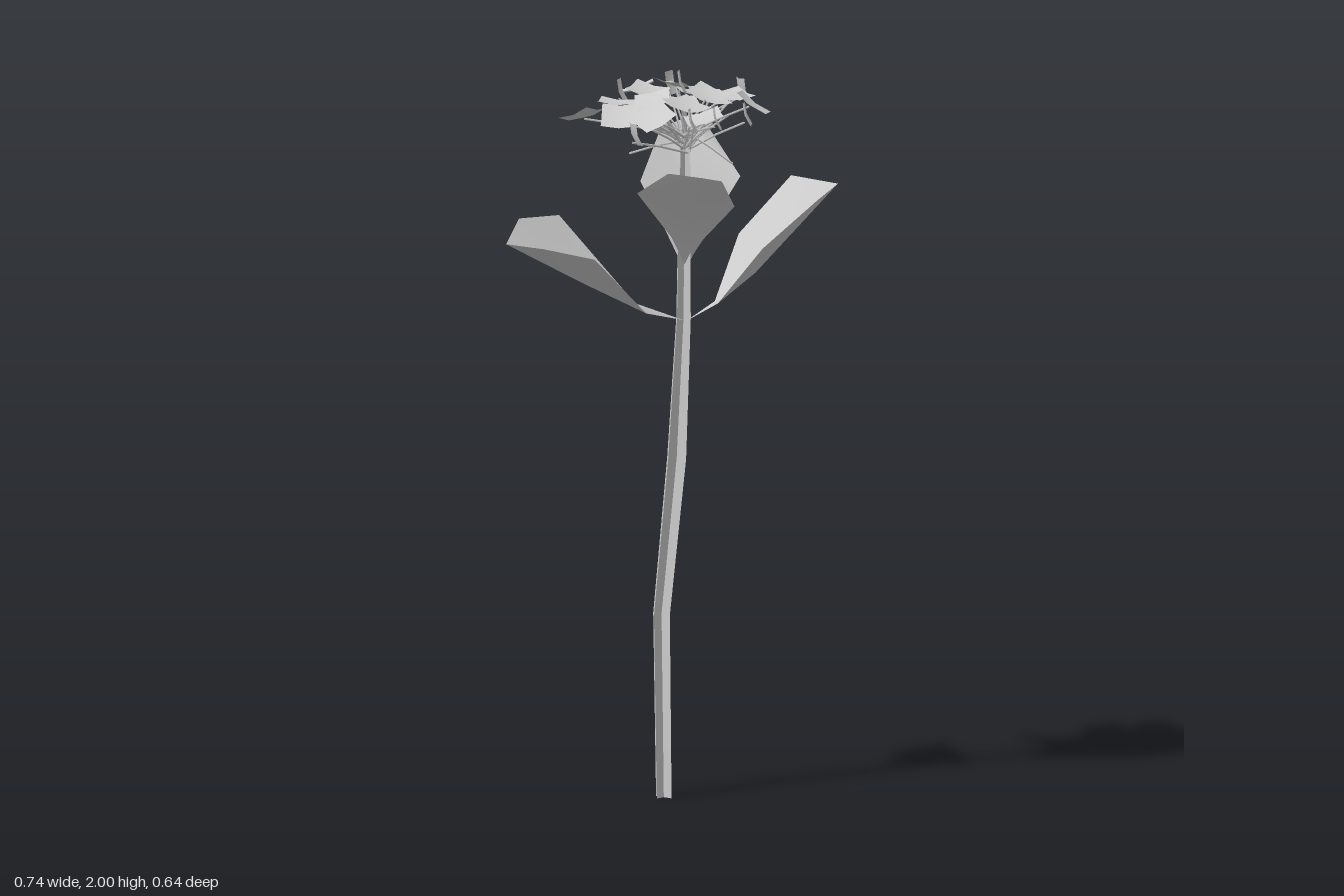
import * as THREE from 'three';

const V = (x, y, z) => new THREE.Vector3(x, y, z);
const material = new THREE.MeshStandardMaterial({ color: 0xcccccc, side: THREE.DoubleSide });

let seed = 7;
const random = () => (seed = (seed * 16807) % 2147483647) / 2147483647;
const jitter = (a) => (random() - 0.5) * 2 * a;

function surface(name, points, index) {
  const g = new THREE.BufferGeometry().setFromPoints(points);
  g.setIndex(index);
  g.computeVertexNormals();
  const mesh = new THREE.Mesh(g, material);
  mesh.name = name;
  return mesh;
}

// Stem: two crossed ribbons that follow a gently bent path (x, y, z, half width)
const stemPath = [
  [0.09, 0, -0.1, 0.028], [0.08, 0.5, -0.1, 0.03], [0.084, 0.93, -0.052, 0.034],
  [0.058, 1.32, -0.009, 0.026], [0.048, 1.5, 0, 0.023], [0.03, 1.79, 0.018, 0.018],
];
function stemRibbon(angle) {
  const dx = Math.cos(angle), dz = Math.sin(angle);
  const points = [], index = [];
  stemPath.forEach(([x, y, z, w], i) => {
    points.push(V(x - dx * w, y, z - dz * w), V(x + dx * w, y, z + dz * w));
    if (i) {
      const a = 2 * i - 2;
      index.push(a, a + 1, a + 3, a, a + 3, a + 2);
    }
  });
  return surface('stemRibbon', points, index);
}

// Leaf: curved sheet, rows are base, neck pair, edge-midrib-edge, three tips
const leafFaces = [0, 1, 2, 1, 3, 4, 1, 4, 2, 2, 4, 5, 3, 6, 7, 3, 7, 4, 4, 7, 8, 4, 8, 5];
const leaves = {
  lowerBackLeaf: [[0.045, 1.315, 0], [-0.06, 1.343, -0.045], [-0.03, 1.36, -0.105],
    [-0.28, 1.52, -0.05], [-0.18, 1.43, -0.17], [-0.11, 1.59, -0.3],
    [-0.37, 1.55, -0.15], [-0.37, 1.55, -0.28], [-0.26, 1.6, -0.32]],
  lowerFrontLeaf: [[0.055, 1.31, 0], [0.08, 1.365, 0.09], [0.125, 1.36, 0.045],
    [0.08, 1.53, 0.24], [0.18, 1.44, 0.14], [0.27, 1.52, 0.015],
    [0.215, 1.65, 0.32], [0.367, 1.67, 0.275], [0.37, 1.675, 0.115]],
  upperFrontLeaf: [[0.055, 1.46, 0], [-0.02, 1.55, 0.01], [0.055, 1.54, 0.06],
    [-0.165, 1.69, 0.005], [-0.035, 1.62, 0.07], [0.055, 1.64, 0.165],
    [-0.165, 1.755, 0.11], [-0.12, 1.745, 0.19], [-0.06, 1.73, 0.21]],
  upperBackLeaf: [[0.05, 1.45, 0], [0.1, 1.55, 0.035], [0.03, 1.55, -0.045],
    [0.188, 1.695, 0.083], [0.08, 1.63, -0.01], [0.01, 1.685, -0.118],
    [0.18, 1.815, -0.015], [0.18, 1.83, -0.11], [0.105, 1.815, -0.122]],
};

// Floret: small square petal with lifted corners
const petal = new THREE.PlaneGeometry(0.096, 0.096, 2, 2).rotateX(-Math.PI / 2);
const pp = petal.attributes.position;
for (let i = 0; i < pp.count; i++) pp.setY(i, 3 * (pp.getX(i) ** 2 + pp.getZ(i) ** 2));
petal.computeVertexNormals();

// Thin three-sided stalk that leaves the hub steeply and then spreads
function stalk(from, to) {
  const mid = from.clone().lerp(to, 0.5).add(V(0, 0.008, 0));
  const g = new THREE.TubeGeometry(new THREE.QuadraticBezierCurve3(from, mid, to), 2, 0.0035, 3);
  const mesh = new THREE.Mesh(g, material);
  mesh.name = 'stalk';
  return mesh;
}

const hubPoint = () => V(0.028 + jitter(0.012), 1.775 + random() * 0.06, 0.018 + jitter(0.012));

// Open florets: x, z and spin
const open = [
  [-0.145, -0.19, 0.07], [-0.1, -0.115, 0.5], [0.06, -0.165, 0.7], [-0.01, -0.08, 0.3],
  [0.085, -0.055, 0.1], [0.2, -0.075, -0.4], [-0.21, -0.02, 0.6], [-0.15, 0.02, -0.4],
  [-0.21, 0.1, -0.5], [-0.09, 0, 0.6], [-0.05, 0.07, -0.6], [-0.1, 0.12, -0.1],
  [0.02, 0.1, 0.2], [0.08, 0.06, -0.5], [0.17, 0.02, 0.7], [0.14, 0.09, -0.4],
  [0.09, 0.19, 0.4], [-0.07, 0.16, 0.8],
];
// Upright half-open florets: x, y, z and heading
const upright = [
  [0, 1.968, 0.02, 0.6], [-0.03, 1.93, -0.16, 0.4], [0.15, 1.93, -0.13, 0.1], [-0.25, 1.865, 0.055, 1.1],
  [0.23, 1.92, 0.05, 1.2], [0.02, 1.9, 0.225, 0.6], [-0.08, 1.9, 0.2, 0.7], [-0.15, 1.9, 0.17, 0.6],
];

export function createModel() {
  const model = new THREE.Group();
  model.name = 'flower';

  const stem = new THREE.Group();
  stem.name = 'stem';
  stem.add(stemRibbon(0.08), stemRibbon(0.08 + Math.PI / 2));
  model.add(stem);

  for (const [name, corners] of Object.entries(leaves)) {
    model.add(surface(name, corners.map((c) => V(...c)), leafFaces));
  }

  const head = new THREE.Group();
  head.name = 'flowerHead';
  model.add(head);

  // Open florets lean outward on a shallow dome
  for (const [x, z, spin] of open) {
    const at = V(x, 1.93 - 0.7 * (x * x + z * z) + jitter(0.018), z);
    const floret = new THREE.Mesh(petal, material);
    floret.name = 'floret';
    floret.position.copy(at);
    const up = V(x * 1.4 + jitter(0.4), 1, z * 1.4 + jitter(0.4)).normalize();
    floret.quaternion.setFromUnitVectors(V(0, 1, 0), up);
    floret.rotateY(spin);
    head.add(floret, stalk(hubPoint(), at.clone().addScaledVector(up, -0.004)));
  }

  // Upright florets stand nearly on edge
  for (const [x, y, z, heading] of upright) {
    const floret = new THREE.Mesh(petal, material);
    floret.name = 'uprightFloret';
    floret.position.set(x, y, z);
    floret.rotation.set(1.25, heading, 0, 'YXZ');
    floret.scale.set(0.42, 0.8, 0.66);
    head.add(floret, stalk(hubPoint(), V(x, y - 0.02, z)));
  }

  // Bare stalks fill the underside of the head
  for (let i = 0; i < 20; i++) {
    const a = i * 2.4, r = 0.04 + 0.09 * random();
    const tip = V(0.015 + Math.cos(a) * r, 1.91 - 0.35 * r + jitter(0.02), 0.015 + Math.sin(a) * r);
    head.add(stalk(hubPoint(), tip));
  }
  head.add(stalk(hubPoint(), V(0, 1.77, 0.2)), stalk(hubPoint(), V(-0.14, 1.79, -0.04)));

  return model;
}
